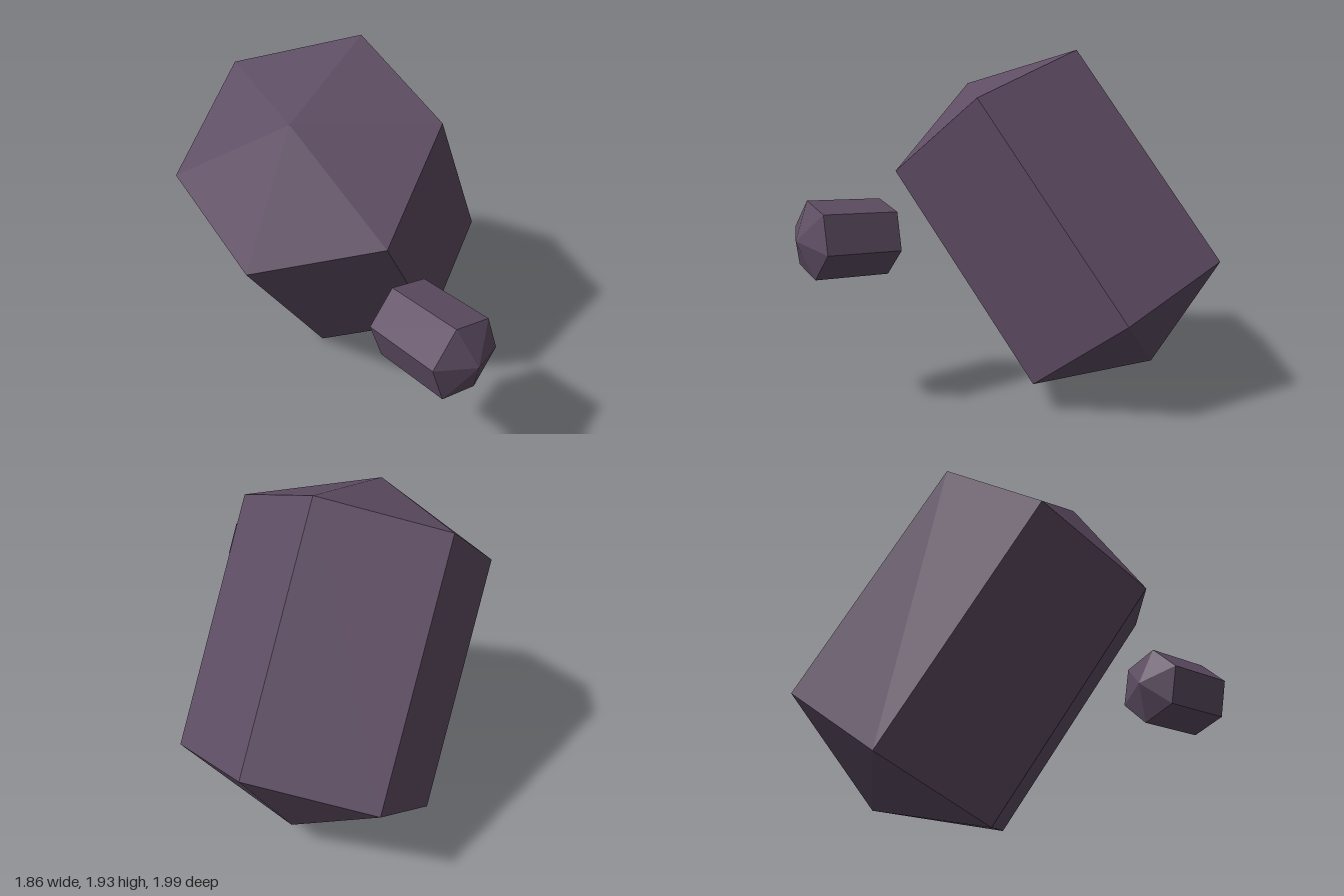
import * as THREE from 'three';

const stone = new THREE.MeshStandardMaterial({ color: 0x5e4d63, flatShading: true });
stone.name = 'dusky purple stone';

// Six-sided crystal with pointed caps: centre, axis between the two rings,
// and the direction from the centre to one corner edge.
function crystal(name, centre, axis, corner) {
  const y = new THREE.Vector3(...axis);
  const length = y.length();
  const radius = length * 0.498;
  y.normalize();
  const z = new THREE.Vector3(...corner);
  z.addScaledVector(y, -z.dot(y)).normalize();
  const x = new THREE.Vector3().crossVectors(y, z);

  const profile = [
    new THREE.Vector2(0, -length * 0.7),
    new THREE.Vector2(radius, -length * 0.5),
    new THREE.Vector2(radius, length * 0.5),
    new THREE.Vector2(0, length * 0.7),
  ];
  const geometry = new THREE.LatheGeometry(profile, 6).toNonIndexed();
  geometry.computeVertexNormals();

  const mesh = new THREE.Mesh(geometry, stone);
  mesh.name = name;
  mesh.quaternion.setFromRotationMatrix(new THREE.Matrix4().makeBasis(x, y, z));
  mesh.position.set(...centre);
  return mesh;
}

export function createModel() {
  const model = new THREE.Group();
  model.name = 'crystalShards';
  model.add(
    crystal('largeCrystal', [-0.275, 0.968, -0.033], [0.11, 1.113, 0.815], [0.015, 0.405, -0.555]),
    crystal('smallCrystal', [0.657, 0.938, 0.731], [0.39, 0.025, 0.155], [-0.033, 0.2, 0.05]),
  );
  return model;
}
